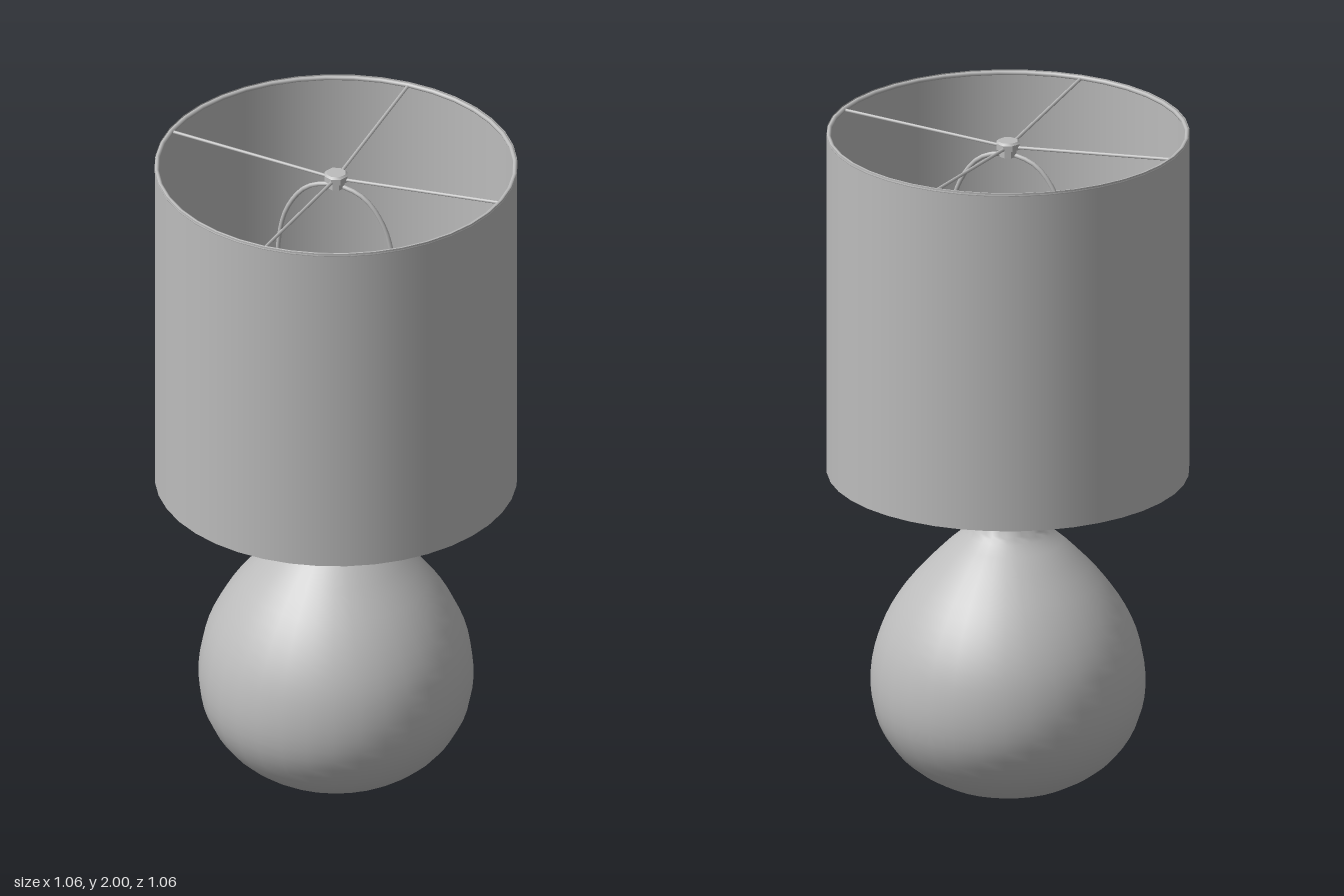
import * as THREE from 'three';
import { toCreasedNormals } from 'three/addons/utils/BufferGeometryUtils.js';

export function createModel() {
  const lamp = new THREE.Group();
  lamp.name = 'tableLamp';

  const grey = new THREE.MeshStandardMaterial({ color: 0xbcbcbc });
  grey.name = 'plain grey';
  grey.side = THREE.DoubleSide;

  const add = (name, geometry, parent = lamp) => {
    const mesh = new THREE.Mesh(geometry, grey);
    mesh.name = name;
    parent.add(mesh);
    return mesh;
  };
  const vec = (p) => new THREE.Vector3(...p);
  // Profile points are [radius, height], listed from bottom to top
  const lathe = (pts, sides = 32) => toCreasedNormals(
    new THREE.LatheGeometry(pts.map(([r, y]) => new THREE.Vector2(r, y)), sides), 0.6);
  const rod = (a, b, r, sides = 8) =>
    new THREE.TubeGeometry(new THREE.LineCurve3(vec(a), vec(b)), 1, r, sides);

  // Round body: smooth curve for the belly, straight steps for the collar
  const belly = new THREE.SplineCurve([
    [0.2, 0], [0.27, 0.04], [0.335, 0.1], [0.385, 0.19], [0.402, 0.29], [0.39, 0.4],
    [0.352, 0.5], [0.287, 0.6], [0.195, 0.7], [0.14, 0.75], [0.112, 0.78],
  ].map(([r, y]) => new THREE.Vector2(r, y))).getPoints(28).map((p) => [p.x, p.y]);
  add('body', lathe([
    [0, 0], ...belly, [0.1, 0.845], [0.094, 0.86], [0.08, 0.866], [0, 0.868],
  ]));

  // Stem between the collar and the socket
  add('stem', lathe([
    [0, 0.866], [0.06, 0.866], [0.062, 0.875], [0.056, 0.884], [0.05, 0.888],
    [0.046, 0.92], [0.041, 0.96], [0.039, 1.03], [0, 1.03],
  ], 24));

  // Bulb socket with an open top
  add('socket', lathe([
    [0, 1.02], [0.042, 1.02], [0.05, 1.035], [0.054, 1.07], [0.068, 1.1], [0.075, 1.12],
    [0.075, 1.15], [0.066, 1.16], [0.066, 1.3], [0.058, 1.3], [0.058, 1.18], [0, 1.18],
  ], 24));

  // Turn switch on the back of the socket
  const turnSwitch = new THREE.Group();
  turnSwitch.name = 'turnSwitch';
  lamp.add(turnSwitch);
  add('switchShaft', rod([0, 1.135, -0.06], [0, 1.135, -0.1], 0.008), turnSwitch);
  const key = add('switchKey', new THREE.CylinderGeometry(0.02, 0.02, 0.018, 12), turnSwitch);
  key.rotation.x = Math.PI / 2;
  key.position.set(0, 1.135, -0.103);

  // Harp: a wire loop rising from both sides of the socket
  const half = [[0.1, 1.14, 0], [0.105, 1.22, 0], [0.145, 1.36, 0],
    [0.18, 1.55, 0], [0.183, 1.7, 0], [0.155, 1.82, 0], [0.09, 1.905, 0]];
  const loop = [...half, [0, 1.93, 0], ...half.map(([x, y, z]) => [-x, y, z]).reverse()];
  add('harp', new THREE.TubeGeometry(new THREE.CatmullRomCurve3(loop.map(vec)), 64, 0.007, 8));

  // Saddle arms and sleeves that hold the harp
  for (const side of [-1, 1]) {
    const arm = new THREE.CatmullRomCurve3(
      [[side * 0.045, 1.09, 0], [side * 0.085, 1.09, 0], [side * 0.1, 1.12, 0],
        [side * 0.1, 1.17, 0]].map(vec));
    add('saddleArm', new THREE.TubeGeometry(arm, 12, 0.009, 8));
    const sleeve = add('harpSleeve', new THREE.CylinderGeometry(0.013, 0.016, 0.07, 12));
    sleeve.position.set(side * 0.102, 1.19, 0);
  }

  // Drum shade, open at both ends
  const shade = add('shade', new THREE.CylinderGeometry(0.53, 0.53, 1.05, 40, 1, true));
  shade.position.y = 1.475;

  // Wire ring inside the top edge
  const ring = add('shadeRing', new THREE.TorusGeometry(0.524, 0.007, 8, 40));
  ring.rotation.x = Math.PI / 2;
  ring.position.y = 1.992;

  // Four spokes dipping to the centre
  for (let i = 0; i < 4; i++) {
    const a = i * Math.PI / 2;
    add('spoke', rod([0, 1.952, 0], [0.524 * Math.cos(a), 1.99, 0.524 * Math.sin(a)], 0.005));
  }

  // Finial knob and its washer on top of the harp
  add('finial', lathe([
    [0, 1.925], [0.026, 1.925], [0.026, 1.945], [0.036, 1.948],
    [0.036, 1.966], [0.03, 1.972], [0, 1.972],
  ], 8));

  return lamp;
}
